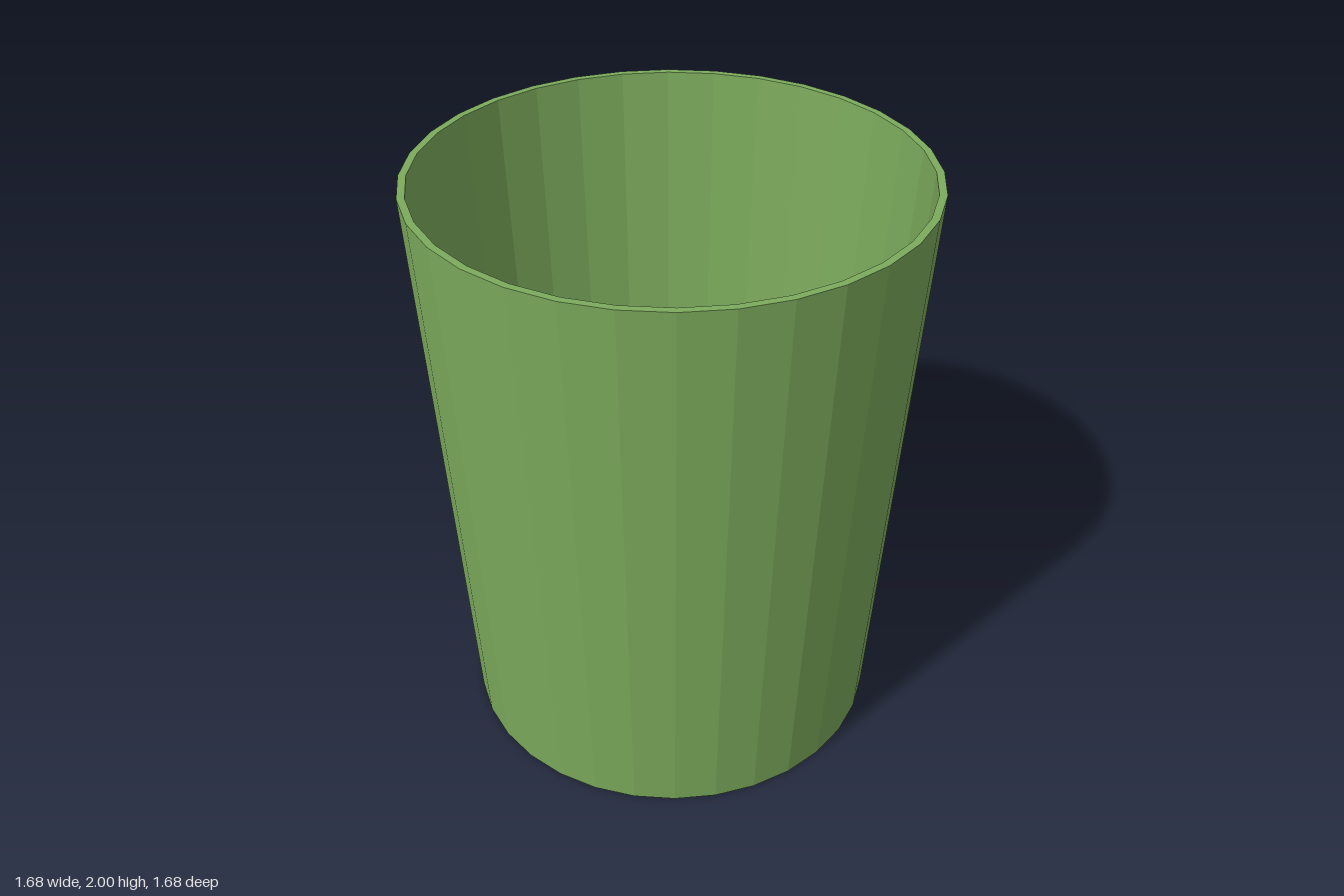
import * as THREE from 'three';

export function createModel() {
  const group = new THREE.Group();
  group.name = 'cup';
  const sides = 32;
  const material = new THREE.MeshStandardMaterial({
    color: 0x7cab5c, flatShading: true, side: THREE.DoubleSide,
  });

  // Tapered wall with thickness: outside, rim, inside, foot ring
  const profile = [[0.715, 0], [0.84, 2], [0.815, 2], [0.69, 0], [0.715, 0]]
    .map(([r, y]) => new THREE.Vector2(r, y));
  const wall = new THREE.Mesh(new THREE.LatheGeometry(profile, sides), material);
  wall.name = 'wall';
  group.add(wall);

  // Thin floor set just above the foot ring
  const floor = new THREE.Mesh(new THREE.CircleGeometry(0.691, sides), material);
  floor.name = 'floor';
  floor.rotation.x = -Math.PI / 2;
  floor.position.y = 0.015;
  group.add(floor);

  return group;
}
